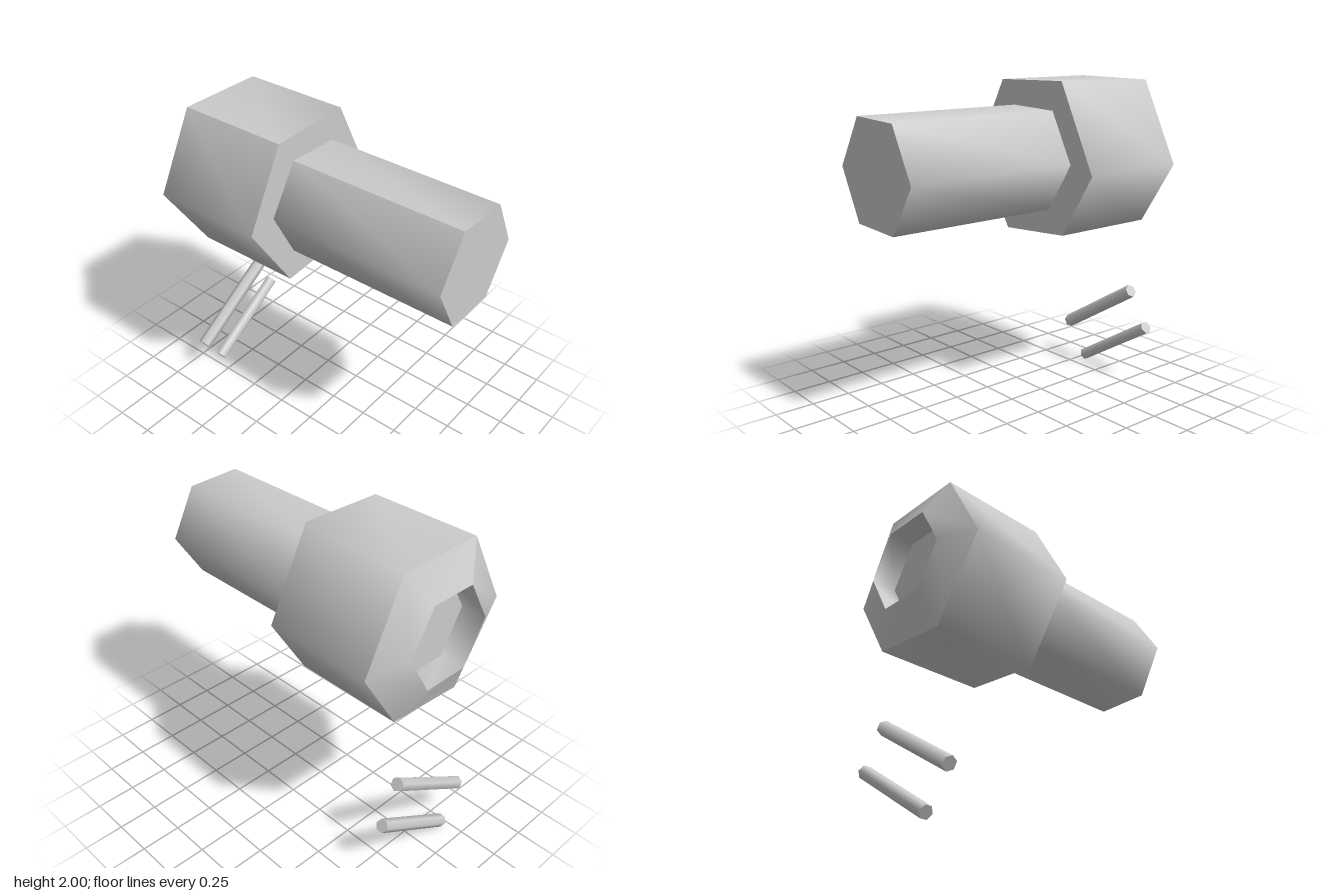
import * as THREE from 'three';

const material = new THREE.MeshStandardMaterial({ color: 0xcccccc });
const AXIS_Y = 1.54;

// Six [z, y] corners, starting at the upper front corner and going over the top to the back
function hexagon(radius, turn = 0) {
  return Array.from({ length: 6 }, (_, i) => {
    const a = Math.PI / 3 * (i + 1) + turn;
    return [radius * Math.cos(a), AXIS_Y + radius * Math.sin(a)];
  });
}

// Smooth skin between two six-cornered sections, with a hard seam at the first corner.
// Faces point outward when x grows, inward when it shrinks.
function loft(name, x0, ring0, x1, ring1) {
  const positions = [], index = [];
  for (const [x, ring] of [[x0, ring0], [x1, ring1]]) {
    for (let i = 0; i <= 6; i++) {
      const [z, y] = ring[i % 6];
      positions.push(x, y, z);
    }
  }
  for (let i = 0; i < 6; i++) index.push(i, i + 7, i + 1, i + 1, i + 7, i + 8);
  const geometry = new THREE.BufferGeometry();
  geometry.setAttribute('position', new THREE.Float32BufferAttribute(positions, 3));
  geometry.setIndex(index);
  geometry.computeVertexNormals();
  const mesh = new THREE.Mesh(geometry, material);
  mesh.name = name;
  return mesh;
}

// Thin six-sided rod between two [y, z] points
function rod(name, x, radius, [y0, z0], [y1, z1], turn) {
  const length = Math.hypot(y1 - y0, z1 - z0);
  const mesh = new THREE.Mesh(
    new THREE.CylinderGeometry(radius, radius, length, 6, 1, false, turn), material);
  mesh.position.set(x, (y0 + y1) / 2, (z0 + z1) / 2);
  mesh.rotation.x = Math.atan2(z1 - z0, y1 - y0);
  mesh.name = name;
  return mesh;
}

export function createModel() {
  const model = new THREE.Group();
  model.name = 'boltWithRods';

  // Sections along the bolt
  const shaft = hexagon(0.34, 0.04);
  const rim = hexagon(0.295);
  const centre = hexagon(0);
  const headOuter = [[0.27, 1.99], [-0.275, 1.985], [-0.525, 1.485], [-0.285, 1.1], [0.22, 1.065], [0.525, 1.53]];
  const headInner = [[0.27, 1.99], [-0.255, 2], [-0.515, 1.48], [-0.28, 1.1], [0.22, 1.065], [0.52, 1.53]];

  // Head with chamfer and hexagonal socket
  const head = new THREE.Group();
  head.name = 'head';
  head.add(
    loft('headBarrel', -0.85, headOuter, -0.155, headInner),
    loft('headChamfer', -0.945, rim, -0.85, headOuter),
    loft('headShoulder', -0.155, headInner, -0.155, shaft),
    loft('socketWall', -0.79, rim, -0.945, rim),
    loft('socketFloor', -0.79, centre, -0.79, rim));

  // Shaft with flat end
  const shank = new THREE.Group();
  shank.name = 'shaft';
  shank.add(
    loft('shaftBarrel', -0.155, shaft, 0.94, shaft),
    loft('shaftEnd', 0.94, shaft, 0.94, centre));

  // Two slanted loose rods below the head
  model.add(head, shank,
    rod('upperRod', -0.845, 0.043, [0.25, 0.355], [0.608, -0.22], 0),
    rod('lowerRod', -0.86, 0.041, [0.035, 0.208], [0.383, -0.348], Math.PI / 2));
  return model;
}
